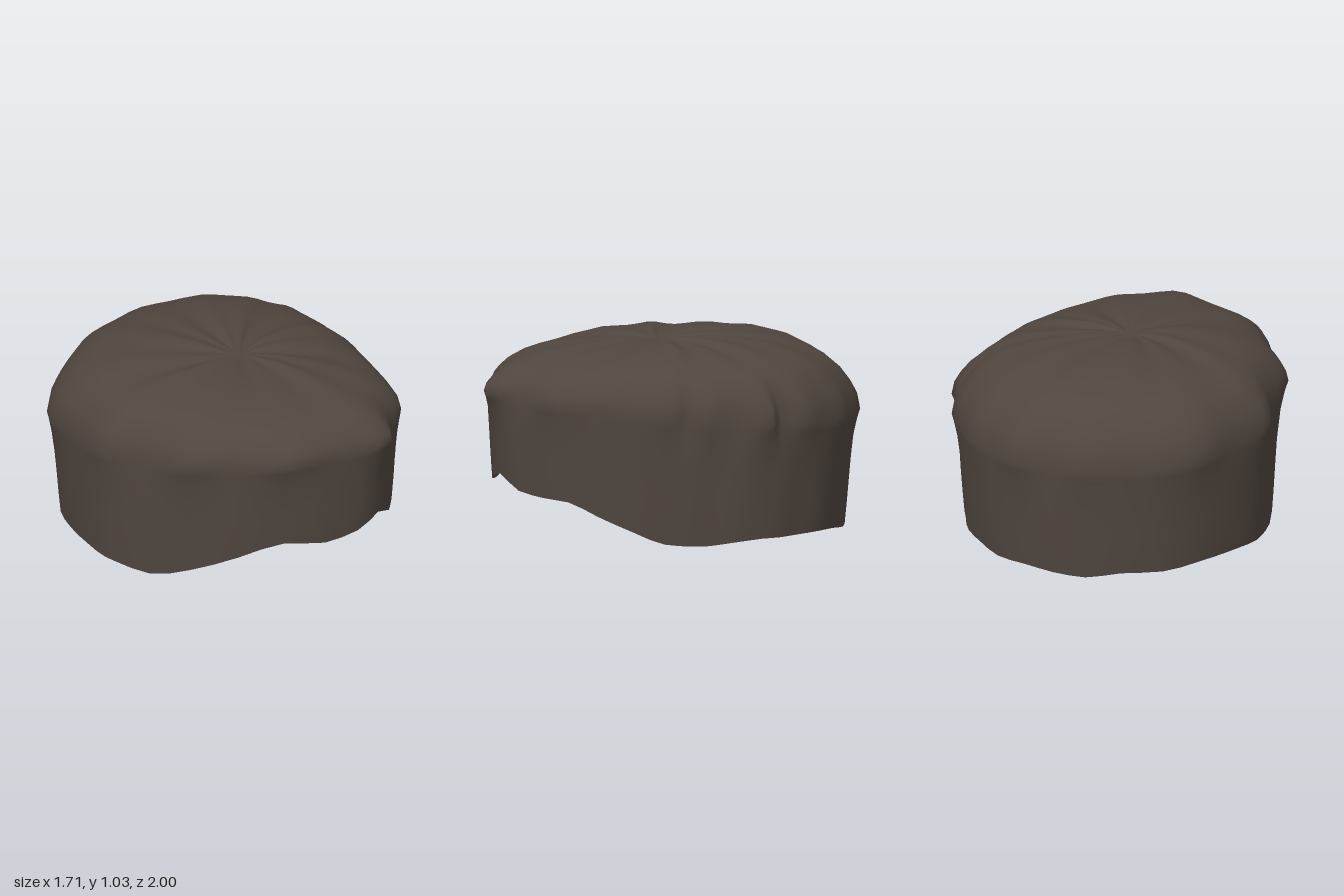
import * as THREE from 'three';

// Widest outline seen from above, with the height of the lower rim: x, z, rimY
const OUTLINE = [
  [0.12, 1.0, 0.34], [0.26, 0.85, 0.27], [0.42, 0.78, 0.25], [0.5, 0.7, 0.24], [0.6, 0.51, 0.17],
  [0.66, 0.37, 0.09], [0.76, 0.15, 0.03], [0.74, 0.07, 0.02], [0.8, -0.02, 0.02], [0.79, -0.2, 0.04],
  [0.85, -0.36, 0.05], [0.76, -0.42, 0.05], [0.76, -0.57, 0.05], [0.65, -0.7, 0.05], [0.55, -0.83, 0.04],
  [0.4, -0.9, 0.02], [0.23, -1.0, 0.02], [0, -0.98, 0.01], [-0.12, -1.0, 0.0], [-0.34, -0.92, 0.03],
  [-0.55, -0.81, 0.03], [-0.71, -0.66, 0.05], [-0.77, -0.44, 0.05], [-0.84, -0.25, 0.04], [-0.86, -0.13, 0.03],
  [-0.78, 0.05, 0.02], [-0.75, 0.36, 0.09], [-0.6, 0.53, 0.2], [-0.43, 0.78, 0.28], [-0.22, 0.87, 0.26],
  [-0.06, 0.93, 0.29],
];
// Side wall rows: height fraction from rim to ridge, scale, smoothing of the outline
const WALL = [[0, 0.95, 1], [0.2, 0.962, 1], [0.4, 0.972, 1], [0.6, 0.982, 0.95], [0.8, 0.993, 0.75], [0.92, 0.998, 0.4], [1, 1, 0.05]];
// Crown rows: scale, height fraction from ridge to top
const CROWN = [[0.985, 0.2], [0.955, 0.36], [0.91, 0.53], [0.85, 0.67], [0.76, 0.8], [0.6, 0.92], [0.42, 0.98], [0.25, 1], [0.1, 0.98]];

export function createModel() {
  const curve = new THREE.CatmullRomCurve3(
    OUTLINE.map(([x, z, y]) => new THREE.Vector3(x, y, z)), true, 'centripetal');
  const N = OUTLINE.length * 2;
  const raw = Array.from({ length: N }, (_, i) => curve.getPoint(i / N));

  // Outline with its jagged tufts averaged away
  const smooth = raw.map((_, i) => {
    const sum = new THREE.Vector3();
    for (let k = -2; k <= 2; k++) sum.add(raw[(i + k + N) % N]);
    return sum.divideScalar(5);
  });

  const pos = [], index = [];
  const ridgeY = (p) => 0.69 + 0.08 * p.z;
  for (const [h, s, blend] of WALL) {
    raw.forEach((p, i) => {
      const q = p.clone().lerp(smooth[i], blend);
      // The front hangs almost straight, the sides and back taper in
      const sz = q.z > 0 ? THREE.MathUtils.lerp(s, 1, 0.4) : s;
      pos.push(q.x * s, THREE.MathUtils.lerp(Math.max(0, p.y), ridgeY(p), h), q.z * sz);
    });
  }
  // Crown with creases radiating from the centre
  for (const [s, h] of CROWN) {
    raw.forEach((p, i) => {
      const a = (i / N) * Math.PI * 2;
      const q = p.clone().lerp(smooth[i], Math.min(0.8, (1 - s) * 4));
      const crease = 0.007 * Math.sin(a * 13 + 3 * s) + 0.008 * Math.sin(a * 5 + 1);
      const top = 1.005 - 0.03 * p.z * s + crease * Math.min(1, s * 4) * h;
      pos.push(q.x * s, THREE.MathUtils.lerp(ridgeY(p), top, h), q.z * s + 0.03 * (1 - s));
    });
  }
  const rows = WALL.length + CROWN.length;
  for (let r = 0; r < rows - 1; r++) {
    for (let i = 0; i < N; i++) {
      const j = (i + 1) % N, a = r * N + i, b = r * N + j;
      index.push(a, b, b + N, a, b + N, a + N);
    }
  }
  // Close the crown at the centre
  const centre = rows * N;
  pos.push(0, 0.98, 0.03);
  for (let i = 0; i < N; i++) index.push(centre - N + i, centre - N + (i + 1) % N, centre);

  const geometry = new THREE.BufferGeometry();
  geometry.setAttribute('position', new THREE.Float32BufferAttribute(pos, 3));
  geometry.setIndex(index);
  geometry.computeVertexNormals();

  const darkBrown = new THREE.MeshStandardMaterial({ color: 0x50463f, side: THREE.DoubleSide });
  darkBrown.name = 'darkBrown';
  const hair = new THREE.Mesh(geometry, darkBrown);
  hair.name = 'hairCap';

  const group = new THREE.Group();
  group.name = 'hair';
  group.add(hair);
  return group;
}
